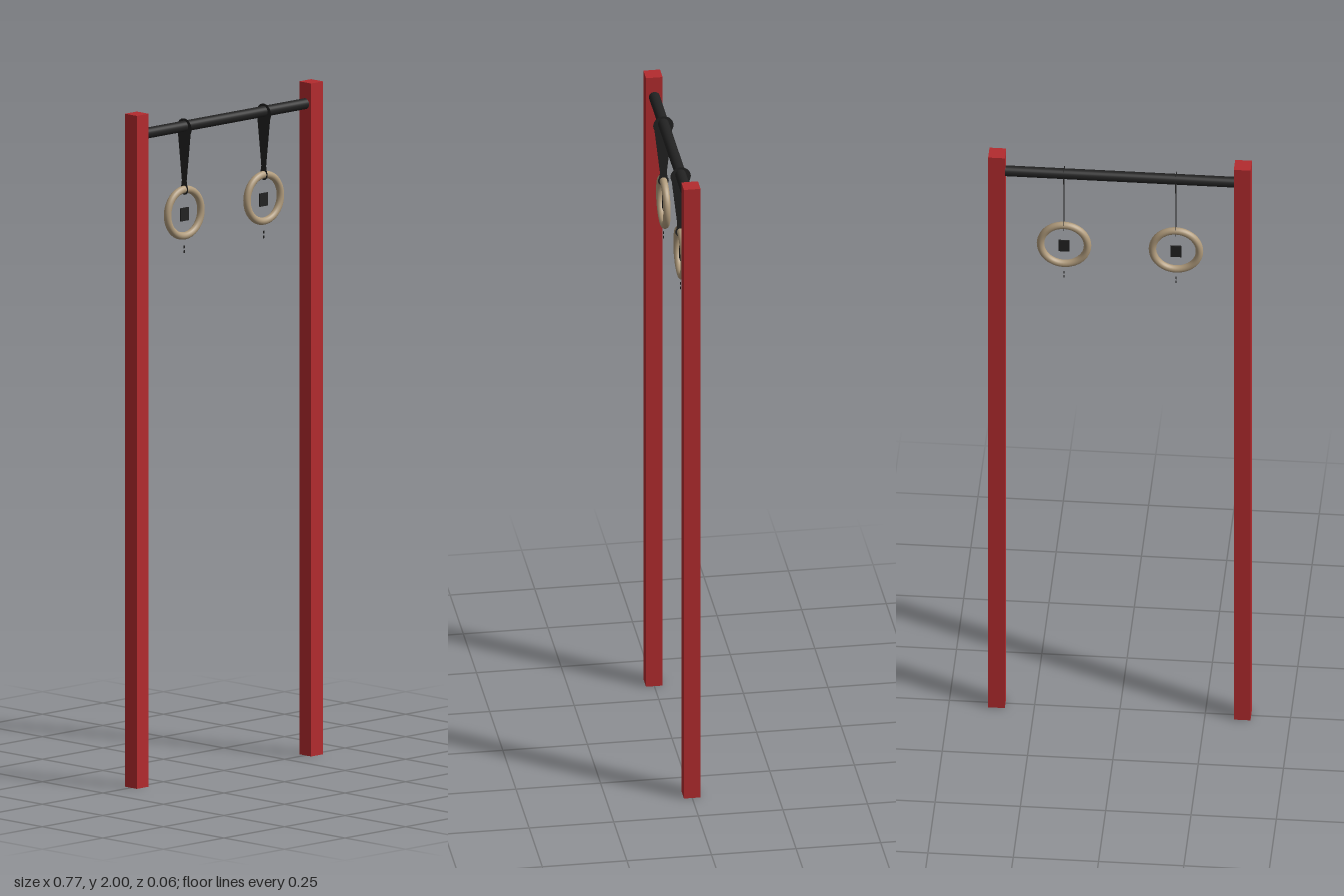
import * as THREE from 'three';

export function createModel() {
  const red = new THREE.MeshStandardMaterial({ color: 0xb32b2e });
  red.name = 'red paint';
  const black = new THREE.MeshStandardMaterial({ color: 0x222222, side: THREE.DoubleSide });
  black.name = 'black';
  const wood = new THREE.MeshStandardMaterial({ color: 0xb09b7c });
  wood.name = 'pale wood';

  const group = new THREE.Group();
  group.name = 'gymnasticRingsFrame';

  const add = (parent, name, geometry, material, x, y, z = 0) => {
    const mesh = new THREE.Mesh(geometry, material);
    mesh.name = name;
    mesh.position.set(x, y, z);
    parent.add(mesh);
    return mesh;
  };

  // Flat strap lying in the YZ plane: loop over the bar, taper, small loop at the ring
  const strapGeometry = () => {
    const shape = new THREE.Shape();
    shape.moveTo(0.026, 1.915);
    shape.absarc(0, 1.93, 0.03, -0.5, Math.PI + 0.5, false);
    shape.lineTo(-0.010, 1.775);
    shape.absarc(0, 1.749, 0.016, Math.PI * 0.8, Math.PI * 2.2, false);
    shape.lineTo(0.010, 1.775);
    shape.closePath();
    return new THREE.ShapeGeometry(shape, 16).rotateY(Math.PI / 2);
  };

  // Crossbar
  add(group, 'crossbar', new THREE.CylinderGeometry(0.016, 0.016, 0.68, 24).rotateZ(Math.PI / 2), black, 0, 1.937);

  for (const side of [-1, 1]) {
    const label = side > 0 ? 'left' : 'right';

    // Square post
    add(group, label + 'Post', new THREE.BoxGeometry(0.049, 2, 0.049), red, side * 0.36, 1);

    // Hanging ring with strap, buckle plate and strap tail
    const hanger = new THREE.Group();
    hanger.name = label + 'Hanger';
    hanger.position.x = side * 0.164;
    group.add(hanger);
    add(hanger, 'strap', strapGeometry(), black, 0, 0);
    add(hanger, 'ring', new THREE.TorusGeometry(0.069, 0.011, 16, 48), wood, 0, 1.68);
    add(hanger, 'bucklePlate', new THREE.BoxGeometry(0.033, 0.039, 0.004), black, 0, 1.675);
    for (const y of [1.564, 1.578]) {
      add(hanger, 'strapTail', new THREE.BoxGeometry(0.004, 0.008, 0.002), black, 0, y);
    }
  }
  return group;
}
